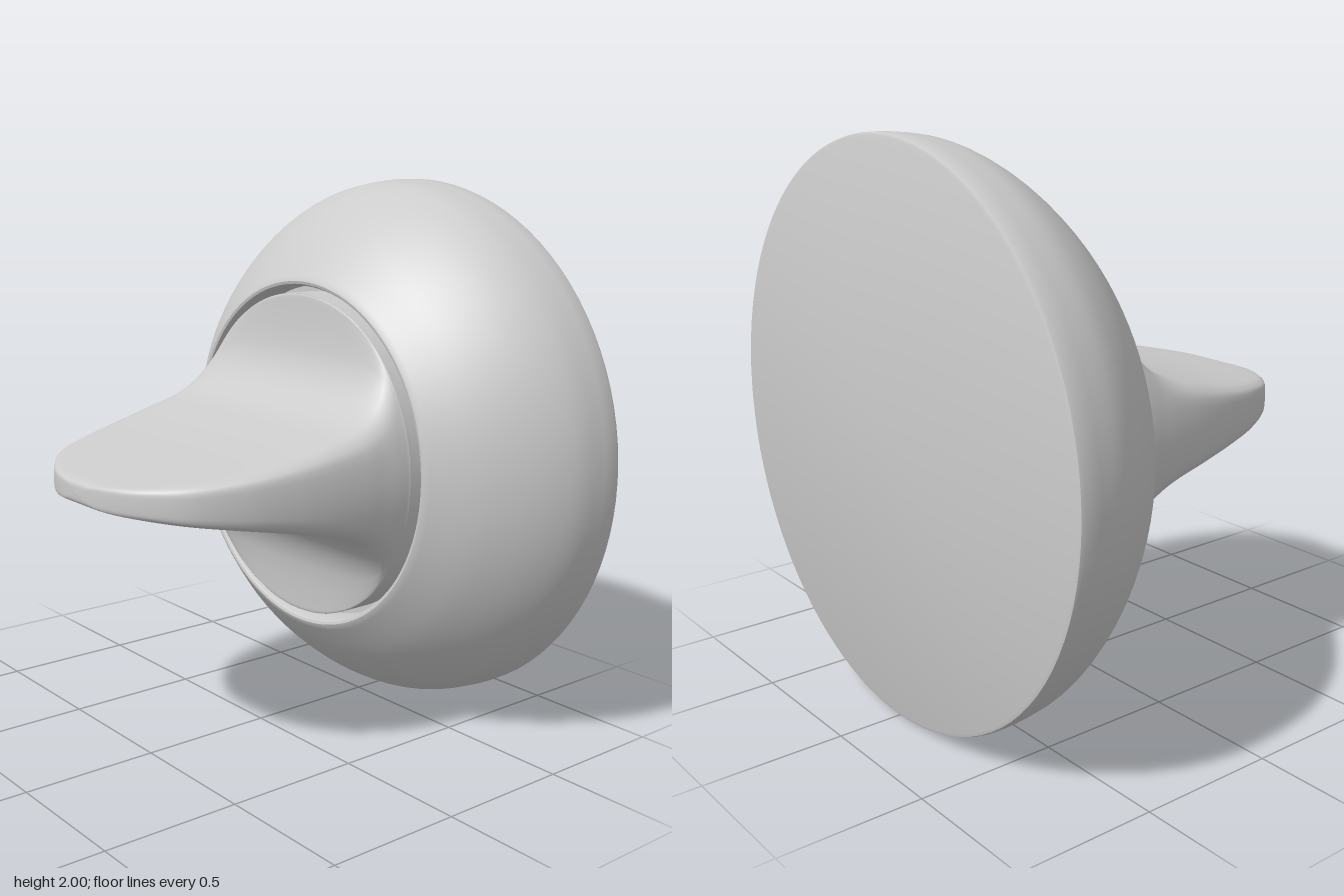
import * as THREE from 'three';
import { toCreasedNormals } from 'three/addons/utils/BufferGeometryUtils.js';

const material = new THREE.MeshStandardMaterial({ color: 0xcccccc });

// Domed rose: a profile of [radius, z] turned about the z axis, with a round recess in front
function roseGeometry() {
  const dome = new THREE.SplineCurve([
    [1, -0.71], [0.985, -0.6], [0.942, -0.5], [0.875, -0.4], [0.785, -0.3], [0.665, -0.2],
  ].map(([r, z]) => new THREE.Vector2(r, z))).getPoints(24);
  const v = (r, z) => new THREE.Vector2(r, z);
  const profile = [
    v(0, -0.772), v(0.985, -0.772), v(0.996, -0.768), v(1, -0.755),
    ...dome,
    v(0.652, -0.19), v(0.642, -0.186), v(0.632, -0.189), v(0.626, -0.2),
    v(0.622, -0.3), v(0, -0.3),
  ];
  const geometry = new THREE.LatheGeometry(profile, 96);
  geometry.rotateX(Math.PI / 2);
  return toCreasedNormals(geometry, 0.6);
}

// Turn piece: a round dome pinched between two flared faces, lofted along z
function turnGeometry() {
  // [z, dome radius, half thickness of the blade]
  const stations = [
    [0.772, 0.002, 0.002], [0.768, 0.09, 0.03], [0.75, 0.17, 0.042], [0.7, 0.275, 0.052],
    [0.6, 0.4, 0.068], [0.45, 0.487, 0.092], [0.3, 0.535, 0.12], [0.15, 0.565, 0.155],
    [0, 0.584, 0.2], [-0.07, 0.59, 0.245], [-0.12, 0.595, 0.305], [-0.15, 0.597, 0.37],
    [-0.165, 0.598, 0.44], [-0.175, 0.6, 0.55], [-0.181, 0.6, 0.8], [-0.2, 0.6, 1.2],
    [-0.3, 0.6, 1.4],
  ].map((s) => new THREE.Vector3(...s));
  const slices = new THREE.CatmullRomCurve3(stations, false, 'centripetal').getPoints(96);
  const nx = 28, ny = 12, n = 2 * (nx + ny);
  const positions = [], indices = [];

  for (const { x: z, y: R, z: h } of slices) {
    const hy = Math.min(R, h);
    for (let i = 0; i < n; i++) {
      // walk round a box, then pull each point to the rounded section
      let bx, by;
      if (i < ny) [bx, by] = [1, -1 + (2 * i) / ny];
      else if (i < ny + nx) [bx, by] = [1 - (2 * (i - ny)) / nx, 1];
      else if (i < 2 * ny + nx) [bx, by] = [-1, 1 - (2 * (i - ny - nx)) / ny];
      else [bx, by] = [-1 + (2 * (i - 2 * ny - nx)) / nx, -1];
      const a = Math.atan2(by * hy, bx * R);
      const r = Math.pow(R ** -10 + (Math.abs(Math.sin(a)) / h) ** 10, -0.1);
      positions.push(r * Math.cos(a), r * Math.sin(a), z);
    }
  }
  for (let s = 0; s < slices.length - 1; s++) {
    for (let i = 0; i < n; i++) {
      const j = (i + 1) % n;
      const a = s * n + i, b = s * n + j, c = a + n, d = b + n;
      indices.push(a, c, b, b, c, d);
    }
  }
  // close the tip
  const tip = positions.length / 3;
  positions.push(0, 0, 0.772);
  for (let i = 0; i < n; i++) indices.push(tip, i, (i + 1) % n);

  const geometry = new THREE.BufferGeometry();
  geometry.setAttribute('position', new THREE.Float32BufferAttribute(positions, 3));
  geometry.setIndex(indices);
  geometry.computeVertexNormals();
  return geometry;
}

export function createModel() {
  const group = new THREE.Group();
  group.name = 'thumbTurn';
  const parts = { rose: roseGeometry(), turnPiece: turnGeometry() };
  for (const [name, geometry] of Object.entries(parts)) {
    const mesh = new THREE.Mesh(geometry, material);
    mesh.name = name;
    mesh.position.y = 1;
    group.add(mesh);
  }
  return group;
}
